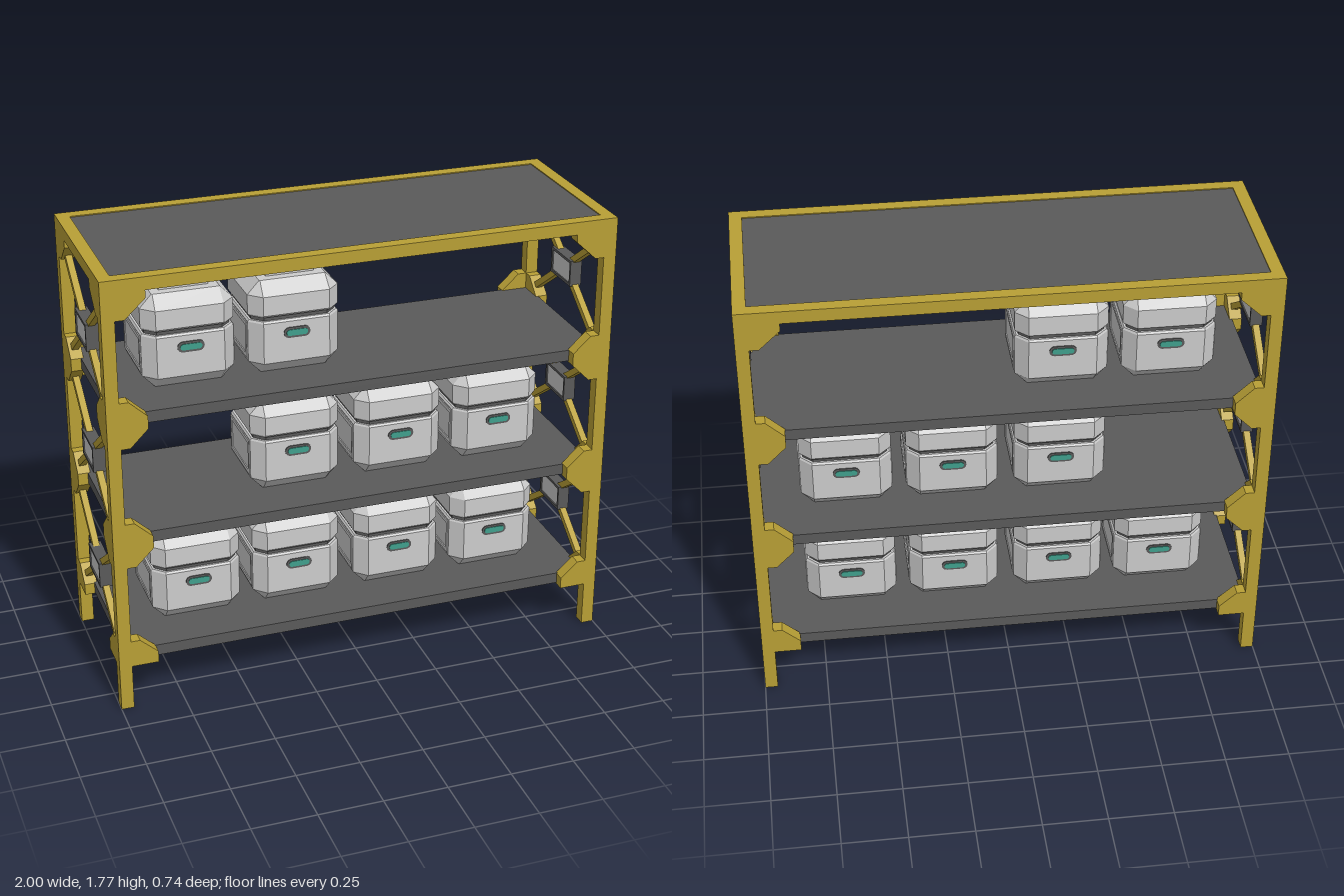
import * as THREE from 'three';

const mat = (color) => new THREE.MeshStandardMaterial({ color, flatShading: true });
const gold = mat(0xb89f35), dark = mat(0x5a5a5a), grey = mat(0xcccccc), green = mat(0x3f9f8c);

const W = 1, D = 0.37, H = 1.77, P = 0.05; // half width, half depth, height, post size
const SHELVES = [0.19, 0.69, 1.185];
const SHELF_T = 0.045;

function add(parent, name, geo, material, x = 0, y = 0, z = 0) {
  const mesh = new THREE.Mesh(geo, material);
  mesh.name = name;
  mesh.position.set(x, y, z);
  parent.add(mesh);
  return mesh;
}
const box = (w, h, d) => new THREE.BoxGeometry(w, h, d);

function plate(points, depth) {
  const shape = new THREE.Shape(points.map(([x, y]) => new THREE.Vector2(x, y)));
  return new THREE.ExtrudeGeometry(shape, { depth, bevelEnabled: false });
}

// Square rings with cut corners, stacked: each row is [half width, height]
function cutCornerLoft(rows, straight) {
  const pos = [], idx = [];
  for (const [r, y] of rows) {
    const s = Math.min(straight, r - 0.003);
    for (const [x, z] of [[s, r], [r, s], [r, -s], [s, -r], [-s, -r], [-r, -s], [-r, s], [-s, r]]) pos.push(x, y, z);
  }
  for (let k = 0; k < rows.length - 1; k++) {
    for (let i = 0; i < 8; i++) {
      const a = k * 8 + i, b = k * 8 + (i + 1) % 8;
      idx.push(a, b, b + 8, a, b + 8, a + 8);
    }
  }
  const top = (rows.length - 1) * 8;
  for (let i = 1; i < 7; i++) idx.push(0, i + 1, i, top, top + i, top + i + 1);
  const geo = new THREE.BufferGeometry();
  geo.setAttribute('position', new THREE.Float32BufferAttribute(pos, 3));
  geo.setIndex(idx);
  geo.computeVertexNormals();
  return geo;
}

function capsule(halfLength, r, depth) {
  const s = new THREE.Shape();
  s.absarc(halfLength - r, 0, r, -Math.PI / 2, Math.PI / 2);
  s.absarc(-halfLength + r, 0, r, Math.PI / 2, Math.PI * 1.5);
  return new THREE.ExtrudeGeometry(s, { depth, bevelEnabled: false, curveSegments: 5 });
}

function rectFrame(w, h, t, depth) {
  const rect = (a, b) => [[-a, -b], [a, -b], [a, b], [-a, b]].map(([x, y]) => new THREE.Vector2(x, y));
  const s = new THREE.Shape(rect(w, h));
  s.holes.push(new THREE.Path(rect(w - t, h - t).reverse()));
  return new THREE.ExtrudeGeometry(s, { depth, bevelEnabled: false });
}

const crateGeo = {
  body: cutCornerLoft([[0.13, 0], [0.178, 0.05], [0.178, 0.212], [0.172, 0.22]], 0.13),
  seam: cutCornerLoft([[0.164, 0.21], [0.164, 0.25]], 0.125),
  lid: cutCornerLoft([[0.172, 0.236], [0.178, 0.244], [0.178, 0.32], [0.13, 0.37]], 0.13),
  cap: box(0.19, 0.01, 0.19),
  bezel: capsule(0.052, 0.021, 0.006),
  grip: capsule(0.042, 0.012, 0.009),
  panel: rectFrame(0.125, 0.073, 0.016, 0.006),
};

function makeCrate() {
  const crate = new THREE.Group();
  crate.name = 'crate';
  add(crate, 'crateBody', crateGeo.body, grey);
  add(crate, 'crateSeam', crateGeo.seam, dark);
  add(crate, 'crateLid', crateGeo.lid, grey);
  add(crate, 'crateLidCap', crateGeo.cap, grey, 0, 0.372, 0);
  for (let i = 0; i < 4; i++) {
    const side = new THREE.Group();
    side.rotation.y = i * Math.PI / 2;
    side.name = i % 2 ? 'crateEnd' : 'crateFace';
    if (i % 2) add(side, 'crateEndFrame', crateGeo.panel, grey, 0, 0.135, 0.176);
    else {
      add(side, 'handleBezel', crateGeo.bezel, dark, 0, 0.167, 0.176);
      add(side, 'handleGrip', crateGeo.grip, green, 0, 0.167, 0.176);
    }
    crate.add(side);
  }
  return crate;
}

// Gusset outlines measured outward from the inner face of a post
const GUSSETS = [
  [[0, 0.185], [0.105, 0.185], [0.105, 0.232], [0.035, 0.295], [0, 0.295]],
  ...SHELVES.slice(1).map((y) => [
    [0, y - 0.075], [0.035, y - 0.075], [0.105, y - 0.005], [0.105, y + 0.045], [0.035, y + 0.11], [0, y + 0.11]]),
  [[0, 1.615], [0.035, 1.615], [0.115, 1.69], [0.115, 1.725], [0, 1.725]],
];

function addCorner(parent, sx, sz) {
  const corner = new THREE.Group();
  corner.name = 'cornerPost';
  add(corner, 'post', box(P, H, P), gold, sx * (W - P / 2), H / 2, sz * (D - P / 2));
  for (const outline of GUSSETS) {
    // along the long side
    const flip = sx > 0 ? outline.map(([a, y]) => [-a, y]) : outline;
    add(corner, 'longGusset', plate(flip, P), gold, sx * (W - P), 0, sz > 0 ? D - P : -D);
    // along the end
    const flipZ = sz > 0 ? outline : outline.map(([a, y]) => [-a, y]);
    const g = add(corner, 'endGusset', plate(flipZ, P), gold, sx > 0 ? W - P : -W, 0, sz * (D - P));
    g.rotation.y = Math.PI / 2;
  }
  parent.add(corner);
}

// Diagonal braces meeting a small framed plate on one end of the rack
function addEndBrace(parent, sx, cy) {
  const brace = new THREE.Group();
  brace.name = 'endBrace';
  brace.position.set(sx * (W - P / 2), cy, 0);
  for (const sy of [-1, 1]) {
    for (const sz of [-1, 1]) {
      const a = new THREE.Vector2(0.05, sy * 0.035), b = new THREE.Vector2(0.3, sy * 0.21);
      const d = b.clone().sub(a), m = a.clone().add(b).multiplyScalar(0.5);
      const bar = add(brace, 'braceBar', box(0.026, 0.026, d.length()), gold, 0, m.y, sz * m.x);
      bar.rotation.x = -Math.atan2(d.y, sz * d.x);
    }
  }
  add(brace, 'braceBlock', box(0.038, 0.1, 0.17), grey);
  const rim = add(brace, 'braceBlockRim', rectFrame(0.09, 0.053, 0.011, 0.048), dark, -0.024, 0, 0);
  rim.rotation.y = Math.PI / 2;
  parent.add(brace);
}

export function createModel() {
  const rack = new THREE.Group();
  rack.name = 'storageRack';

  for (const sx of [-1, 1]) {
    for (const sz of [-1, 1]) addCorner(rack, sx, sz);
    for (const cy of [0.44, 0.942, 1.443]) addEndBrace(rack, sx, cy);
    add(rack, 'topEndRail', box(P, P, 2 * (D - P)), gold, sx * (W - P / 2), H - P / 2, 0);
  }
  for (const sz of [-1, 1]) {
    add(rack, 'topLongRail', box(2 * (W - P), P, P), gold, 0, H - P / 2, sz * (D - P / 2));
  }
  add(rack, 'topPanel', box(2 * (W - P), 0.042, 2 * (D - P)), dark, 0, H - 0.025, 0);

  // Shelves and the crates standing on each
  const columns = [-0.626, -0.214, 0.209, 0.623];
  const filled = [[0, 1, 2, 3], [1, 2, 3], [0, 1]];
  SHELVES.forEach((y, level) => {
    add(rack, 'shelf', box(1.92, SHELF_T, 0.66), dark, 0, y + SHELF_T / 2, 0);
    for (const c of filled[level]) {
      const crate = makeCrate();
      crate.position.set(columns[c], y + SHELF_T, 0);
      rack.add(crate);
    }
  });
  return rack;
}
